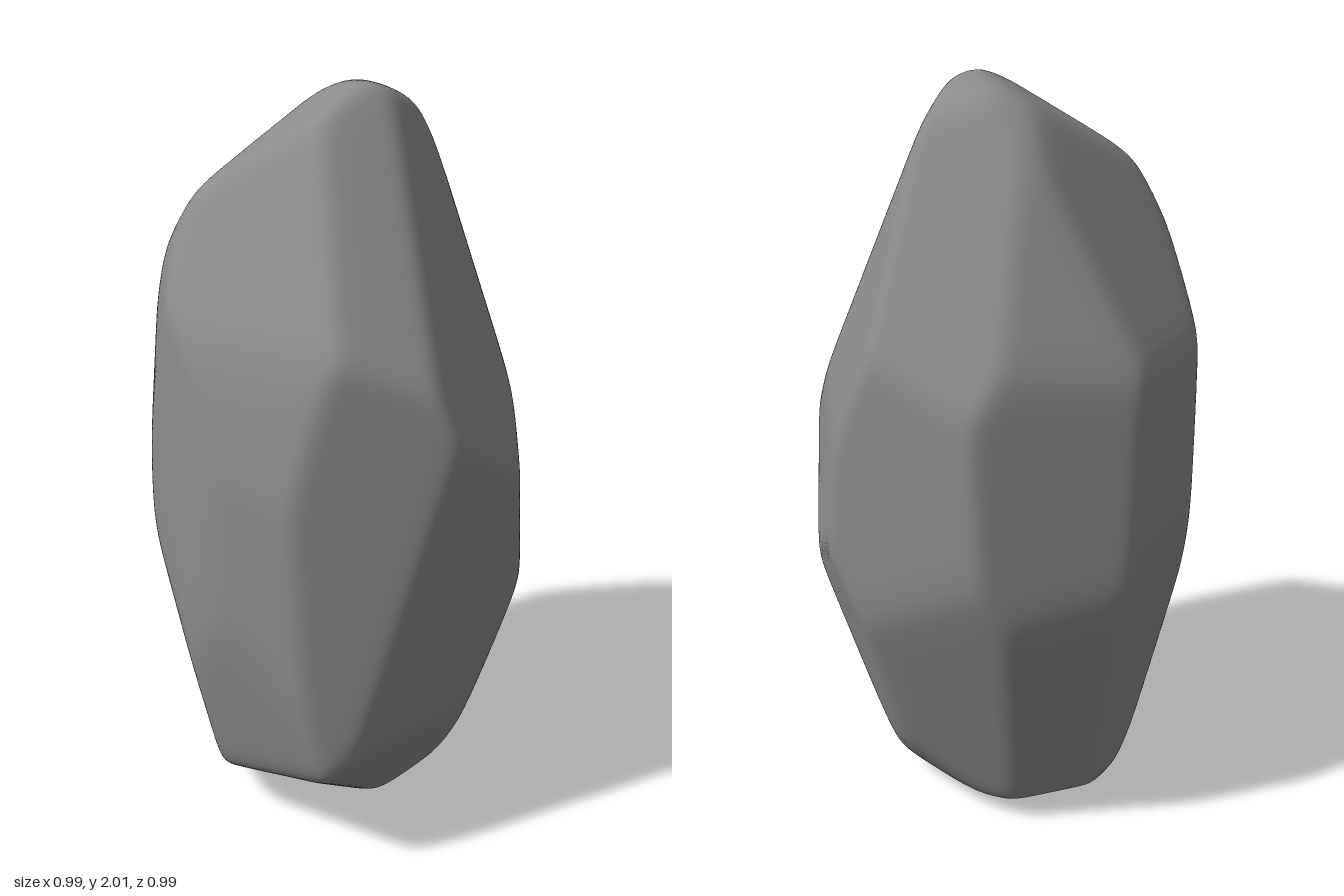
import * as THREE from 'three';
import { mergeVertices } from 'three/addons/utils/BufferGeometryUtils.js';

// Each facet: compass angle (0 = front, 90 = left side +x), tilt up in degrees,
// and distance from the middle of the rock
const sides = [
  [177, 2, 0.48], [130, 0, 0.475], [80, 4, 0.464], [37, -9, 0.465], [-1, 2, 0.48],
  [-41, 0, 0.49], [-67, 0, 0.47], [-101, 0, 0.49], [-139, 0, 0.49],
];
const shoulders = [
  [83, 18, 0.49], [58, 23, 0.495], [16, 35, 0.615], [-40, 31, 0.595], [-39, 12, 0.51],
  [-93, 7, 0.506], [-90, 24, 0.64], [-138, 30, 0.6], [180, 22, 0.57], [140, 25, 0.575],
];
const cap = [[-96, 58, 0.835], [146, 80, 1.01], [114, 60, 0.92], [180, 45, 0.79]];
const taper = [
  [92, -17, 0.535], [50, -17, 0.55], [-51, -12, 0.543], [-90, -12, 0.52],
  [-138, -12, 0.515], [180, -17, 0.542], [140, -18, 0.53],
];
const underside = [
  [180, -78, 0.98], [-28, -53, 0.845], [33, -31, 0.655], [115, -39, 0.755],
  [-90, -33, 0.77], [90, -70, 0.985],
];

const SHARPNESS = 55; // higher gives crisper edges between facets

// Facet normals divided by their distances
const facets = [sides, shoulders, cap, taper, underside].flat().map(([turn, tilt, distance]) =>
  new THREE.Vector3().setFromSphericalCoords(
    1 / distance,
    THREE.MathUtils.degToRad(90 - tilt),
    THREE.MathUtils.degToRad(turn)
  )
);

// Distance along a ray to the nearest facet, blended softly at the edges
function reach(ray) {
  let sum = 0;
  for (const facet of facets) sum += Math.max(facet.dot(ray), 0) ** SHARPNESS;
  return sum ** (-1 / SHARPNESS);
}

// A fine ball whose points are pushed out to the facets
function boulderGeometry() {
  const ball = new THREE.IcosahedronGeometry(1, 44);
  ball.deleteAttribute('uv');
  ball.deleteAttribute('normal');
  const geometry = mergeVertices(ball, 1e-5);
  const position = geometry.attributes.position;
  const point = new THREE.Vector3();
  for (let i = 0; i < position.count; i++) {
    point.fromBufferAttribute(position, i);
    point.set(point.x * 0.5, point.y, point.z * 0.5); // spread points evenly over the tall form
    point.multiplyScalar(reach(point));
    position.setXYZ(i, point.x, point.y + 1, point.z);
  }
  geometry.computeVertexNormals();
  return geometry;
}

export function createModel() {
  const group = new THREE.Group();
  group.name = 'rock';
  const boulder = new THREE.Mesh(
    boulderGeometry(),
    new THREE.MeshStandardMaterial({ color: 0x8b8b8b })
  );
  boulder.name = 'boulder';
  group.add(boulder);
  return group;
}
